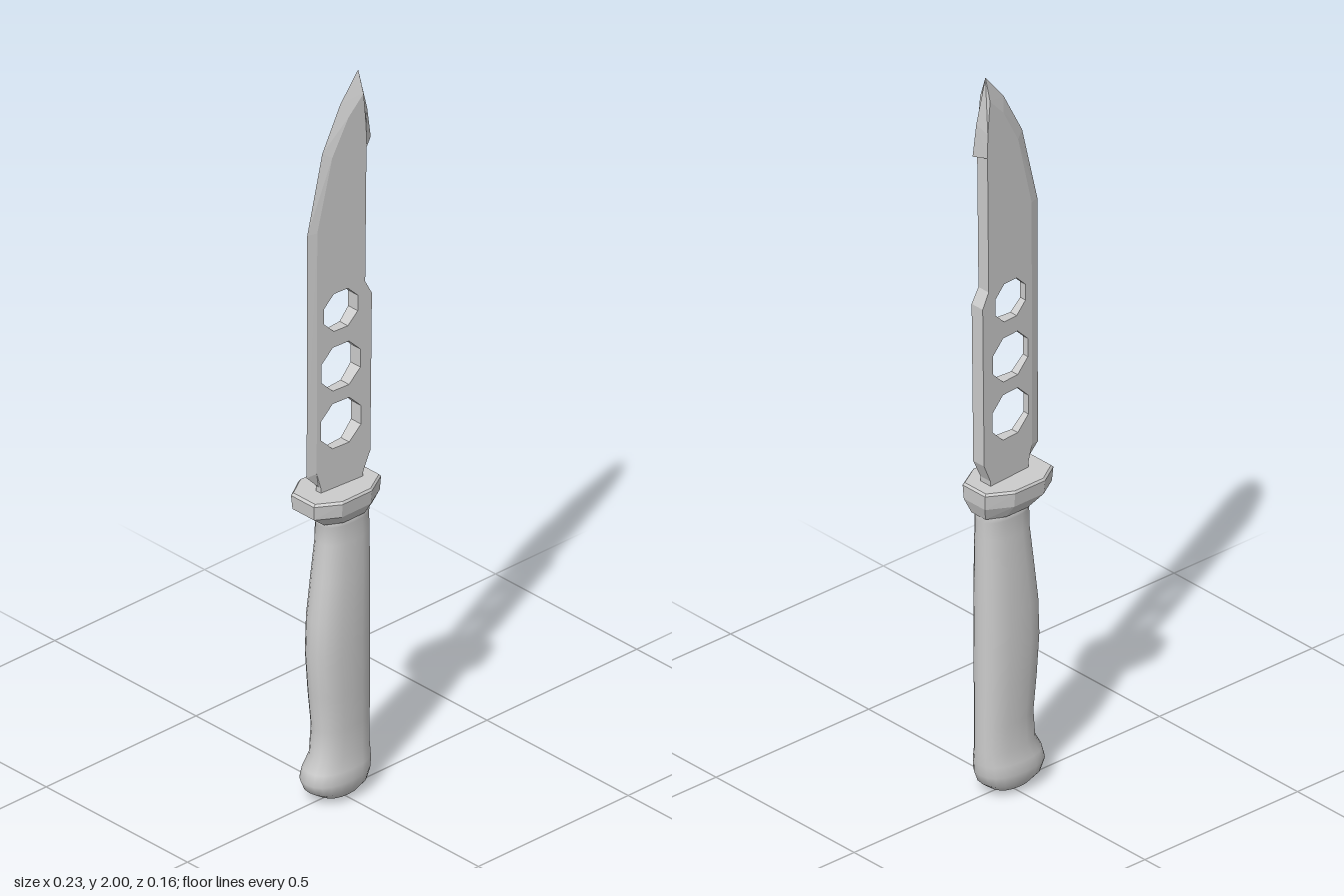
import * as THREE from 'three';

const smooth = new THREE.MeshStandardMaterial({ color: 0xcccccc });
const flat = new THREE.MeshStandardMaterial({ color: 0xcccccc, flatShading: true });

// Skin over horizontal rings [y, minX, maxX, halfZ] sharing one unit cross-section, capped at both ends
function loft(rings, section) {
  const n = section.length, pos = [], idx = [];
  for (const [y, x0, x1, hz] of rings)
    for (const [u, v] of section) pos.push((x0 + x1) / 2 + u * (x1 - x0) / 2, y, v * hz);
  for (let r = 0; r < rings.length - 1; r++)
    for (let i = 0; i < n; i++) {
      const a = r * n + i, b = r * n + (i + 1) % n;
      idx.push(a, a + n, b, b, a + n, b + n);
    }
  const top = (rings.length - 1) * n;
  for (let i = 1; i < n - 1; i++) idx.push(0, i, i + 1, top, top + i + 1, top + i);
  const g = new THREE.BufferGeometry();
  g.setAttribute('position', new THREE.Float32BufferAttribute(pos, 3));
  g.setIndex(idx);
  g.computeVertexNormals();
  return g;
}

// Half thickness of the blade, growing from cutting edge to spine
const thick = x => 0.008 + (x + 0.075) * 0.07;

function bladeGeometry() {
  // Counter-clockwise flat outline: [x, y] or [x, y, edgeX, edgeY] where it bevels to a sharp edge
  const outline = [
    [-0.063, 0.85], [0.068, 0.85], [0.07, 0.88], [0.092, 0.93], [0.097, 1.37], [0.076, 1.41],
    [0.08, 1.785], [0.08, 1.785, 0.112, 1.795], [0.079, 1.85, 0.1, 1.88], [0.071, 1.94, 0.07, 2],
    [0.024, 1.89, 0.01, 1.925], [-0.027, 1.795, -0.05, 1.81], [-0.074, 1.6, -0.1, 1.6],
    [-0.076, 0.925, -0.102, 0.92], [-0.063, 0.88],
  ];
  // Octagonal holes, clockwise
  const holes = [[1.04, 0.068], [1.2, 0.066], [1.358, 0.057]].map(([cy, r]) =>
    Array.from({ length: 8 }, (_, i) => {
      const a = -(i + 0.5) * Math.PI / 4;
      return [r * Math.cos(a), cy + r * Math.sin(a)];
    }));

  const pos = [];
  const tri = (a, b, c) => {
    if (new THREE.Triangle(a, b, c).getArea() < 1e-9) return;
    for (const p of [a, b, c]) pos.push(p.x, p.y, p.z);
  };
  // Each triangle is mirrored to the other side of the blade
  const both = (a, b, c) => {
    tri(a, b, c);
    const [d, e, f] = [a, c, b].map(p => new THREE.Vector3(p.x, p.y, -p.z));
    tri(d, e, f);
  };
  const face = ([x, y]) => new THREE.Vector3(x, y, thick(x));
  const edge = ([x, y, ex = x, ey = y]) => new THREE.Vector3(ex, ey, 0);

  // Flat sides
  const v2 = ([x, y]) => new THREE.Vector2(x, y);
  const shape = new THREE.Shape(outline.filter((_, i) => i !== 6).map(v2));
  shape.holes = holes.map(h => new THREE.Path(h.map(v2)));
  const sg = new THREE.ShapeGeometry(shape), p = sg.attributes.position, ix = sg.index;
  const at = i => face([p.getX(ix.getX(i)), p.getY(ix.getX(i))]);
  for (let i = 0; i < ix.count; i += 3) both(at(i), at(i + 1), at(i + 2));

  // Spine, bevels and hole walls
  for (const loop of [outline, ...holes])
    loop.forEach((a, i) => {
      const b = loop[(i + 1) % loop.length];
      both(face(a), edge(a), edge(b));
      both(face(a), edge(b), face(b));
    });
  const g = new THREE.BufferGeometry();
  g.setAttribute('position', new THREE.Float32BufferAttribute(pos, 3));
  g.computeVertexNormals();
  return g;
}

export function createModel() {
  const model = new THREE.Group();
  const add = (name, geometry, material) => {
    const m = new THREE.Mesh(geometry, material);
    m.name = name;
    model.add(m);
  };

  // Grip: rounded section with a finger swell and a pommel
  const round = Array.from({ length: 20 }, (_, i) => {
    const a = i / 20 * Math.PI * 2, c = Math.cos(a), s = Math.sin(a);
    return [Math.sign(c) * Math.abs(c) ** 0.85, Math.sign(s) * Math.abs(s) ** 0.85];
  });
  add('handle', loft([
    [0, -0.03, 0.025, 0.025], [0.012, -0.062, 0.055, 0.044], [0.032, -0.093, 0.08, 0.058],
    [0.06, -0.105, 0.09, 0.063], [0.09, -0.097, 0.092, 0.06], [0.125, -0.078, 0.092, 0.051],
    [0.2, -0.072, 0.092, 0.05], [0.3, -0.082, 0.092, 0.053], [0.41, -0.09, 0.092, 0.055],
    [0.51, -0.086, 0.092, 0.055], [0.62, -0.072, 0.092, 0.052], [0.72, -0.06, 0.092, 0.047],
    [0.77, -0.06, 0.092, 0.045], [0.8, -0.072, 0.094, 0.05],
  ], round), smooth);

  // Octagonal guard flaring out from the grip
  const octagon = [[1, 0.52], [0.42, 1], [-0.46, 1], [-1, 0.52], [-1, -0.52], [-0.46, -1], [0.42, -1], [1, -0.52]];
  add('guard', loft([
    [0.785, -0.068, 0.093, 0.049], [0.822, -0.113, 0.106, 0.074],
    [0.86, -0.116, 0.108, 0.078], [0.866, -0.11, 0.103, 0.074],
  ], octagon), flat);

  add('blade', bladeGeometry(), flat);
  return model;
}
